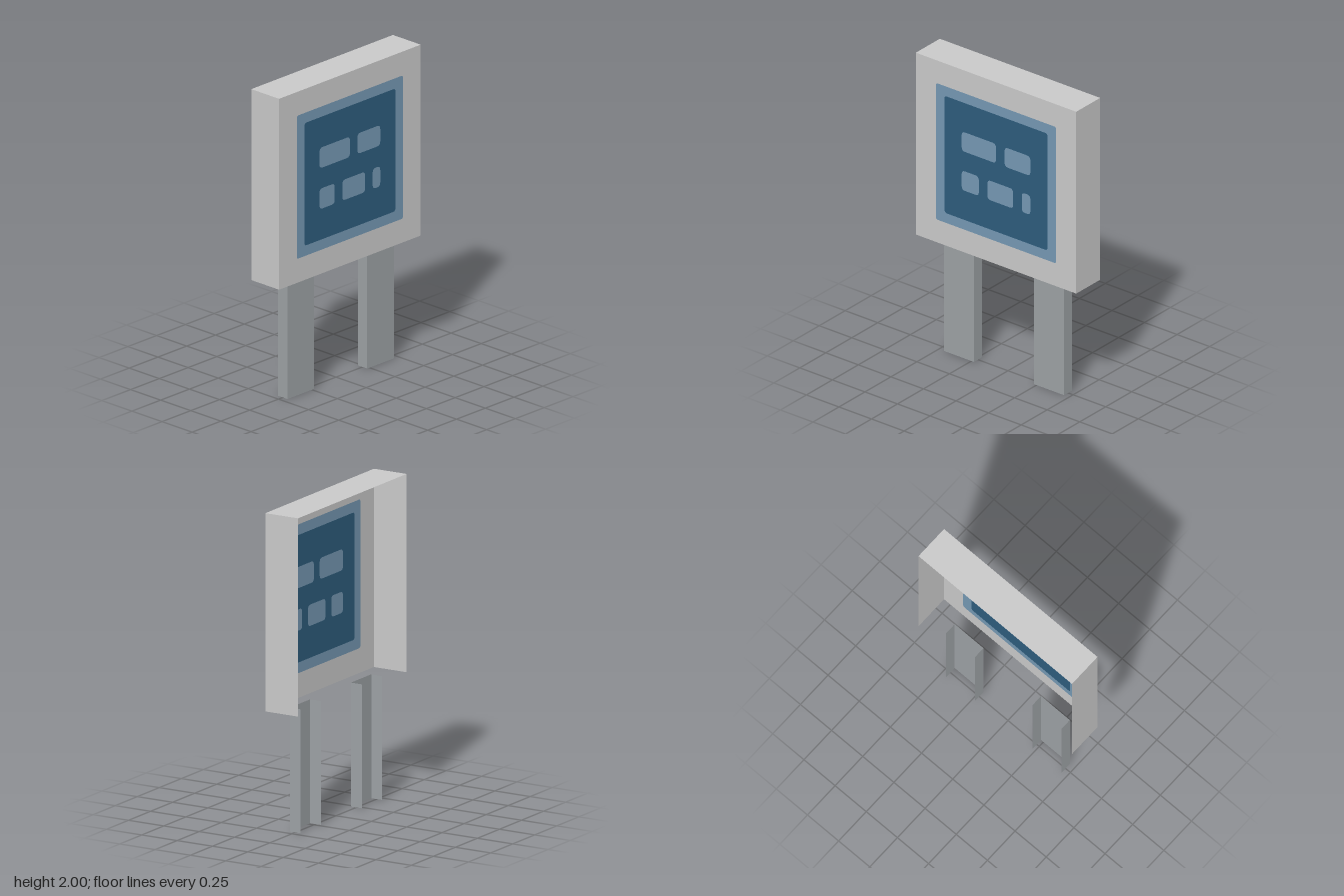
import * as THREE from 'three';

const U = 2 / 26;          // body module
const P = 12 * U / 14;     // sign artwork module
const CY = 18 * U;         // centre height of the sign

function material(name, color) {
  const m = new THREE.MeshStandardMaterial({ color, side: THREE.DoubleSide });
  m.name = name;
  return m;
}

// Rounded rectangle outline from its edges
function roundRect(x0, y0, x1, y1, r, Type = THREE.Shape) {
  const s = new Type();
  s.moveTo(x0 + r, y0);
  s.lineTo(x1 - r, y0);
  s.quadraticCurveTo(x1, y0, x1, y0 + r);
  s.lineTo(x1, y1 - r);
  s.quadraticCurveTo(x1, y1, x1 - r, y1);
  s.lineTo(x0 + r, y1);
  s.quadraticCurveTo(x0, y1, x0, y1 - r);
  s.lineTo(x0, y0 + r);
  s.quadraticCurveTo(x0, y0, x0 + r, y0);
  return s;
}

export function createModel() {
  const group = new THREE.Group();
  const lightGrey = material('light grey casing', 0xc8c8c8);
  const steel = material('steel grey legs', 0x9ba0a3);
  const paleBlue = material('pale blue', 0x7497b2);
  const darkBlue = material('dark blue', 0x2d5c7c);

  function add(name, geometry, mat, x, y, z, rx = 0, ry = 0) {
    const mesh = new THREE.Mesh(geometry, mat);
    mesh.name = name;
    mesh.position.set(x, y, z);
    mesh.rotation.set(rx, ry, 0);
    group.add(mesh);
  }
  // Flat sheet cut from an outline with holes, on the front plane
  function sheet(name, outline, holes, mat) {
    outline.holes = holes;
    add(name, new THREE.ShapeGeometry(outline, 4), mat, 0, CY, 1.5 * U);
  }

  // Front face: nested sheets that fill one another's cut-outs
  const outer = [-6 * U, -6 * U, 6 * U, 6 * U, 0.016];
  const inner = [-6 * P, -6 * P, 6 * P, 6 * P, 0.02];
  const bars = [[-4, 1, 0, 3], [1, 1, 4, 3], [-4, -3, -2, -1], [-1, -3, 2, -1], [3, -3, 4, -1]]
    .map(b => [...b.map(v => v * P), 0.026]);
  sheet('frontPanel', roundRect(-8 * U, -8 * U, 8 * U, 8 * U, 0), [roundRect(...outer, THREE.Path)], lightGrey);
  sheet('signBorder', roundRect(...outer), [roundRect(...inner, THREE.Path)], paleBlue);
  sheet('signField', roundRect(...inner), bars.map(b => roundRect(...b, THREE.Path)), darkBlue);
  bars.forEach((b, i) => sheet('signBar' + (i + 1), roundRect(...b), [], paleBlue));

  // Casing top and sides, open at the back and below
  add('casingTop', new THREE.PlaneGeometry(16 * U, 3 * U), lightGrey, 0, 2, 0, -Math.PI / 2);
  for (const s of [-1, 1]) {
    const side = s > 0 ? 'left' : 'right';
    add(side + 'CasingWall', new THREE.PlaneGeometry(3 * U, 16 * U), lightGrey, s * 8 * U, CY, 0, 0, s * Math.PI / 2);

    // Channel leg: front web and two flanges, open at the back
    add(side + 'LegFront', new THREE.PlaneGeometry(3 * U, 10 * U), steel, s * 4.5 * U, 5 * U, U / 2);
    for (const e of [-1, 1]) {
      add(side + 'LegFlange', new THREE.PlaneGeometry(U, 10 * U), steel,
        (s * 4.5 + e * 1.5) * U, 5 * U, 0, 0, e * Math.PI / 2);
    }
  }
  return group;
}
